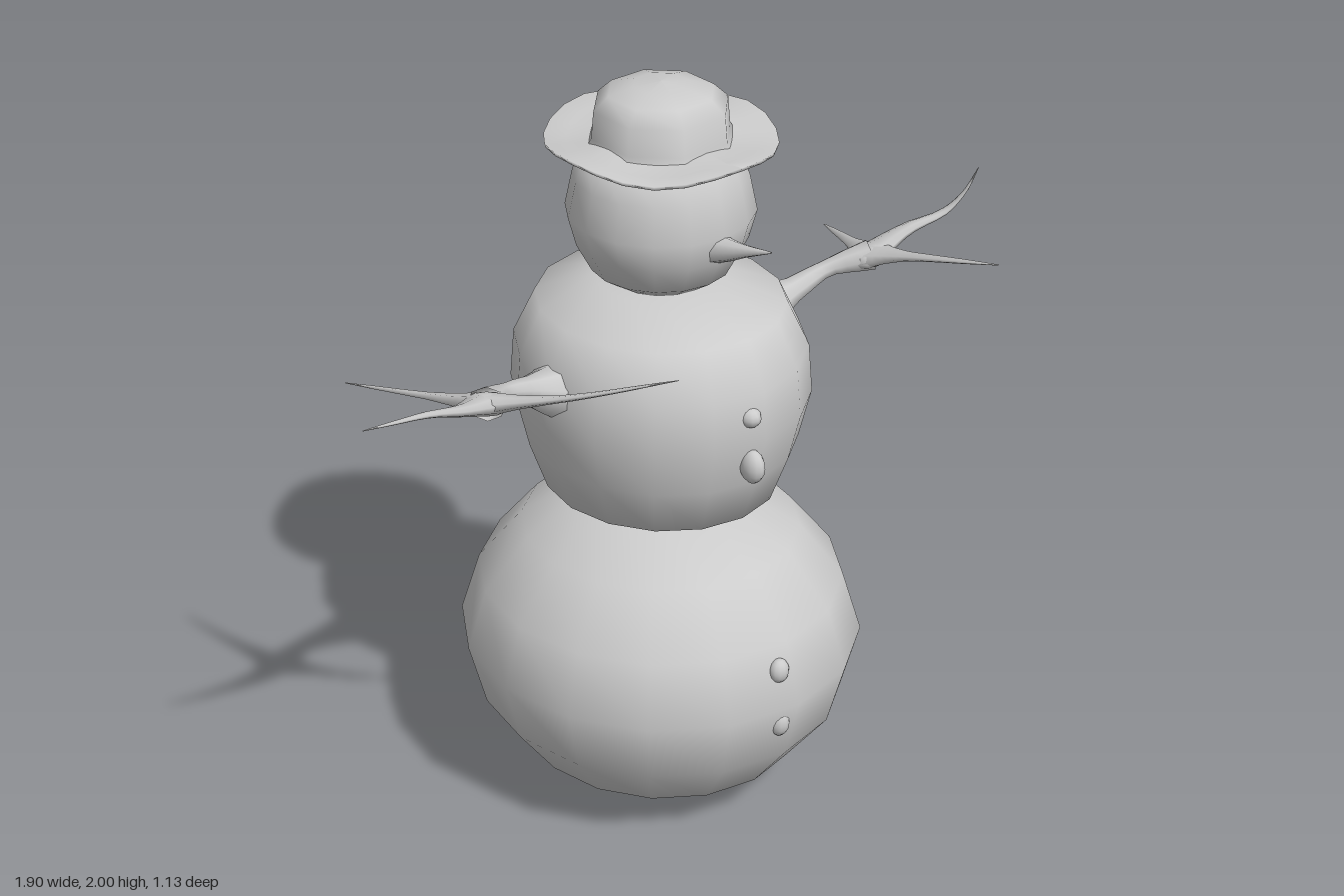
import * as THREE from 'three';

const material = new THREE.MeshStandardMaterial({ color: 0xcccccc, side: THREE.DoubleSide });
const CX = 0.05, CZ = -0.03; // axis of the stacked body

const v = (p) => new THREE.Vector3(...p);

function add(group, name, geometry, x = 0, y = 0, z = 0) {
  const mesh = new THREE.Mesh(geometry, material);
  mesh.name = name;
  mesh.position.set(x, y, z);
  group.add(mesh);
  return mesh;
}

// Turned form from [radius, y] pairs, stretched along z
function turned(profile, segments, stretchZ = 1, start = 0) {
  const pts = profile.map(([r, y]) => new THREE.Vector2(r, y));
  return new THREE.LatheGeometry(pts, segments, start).scale(1, 1, stretchZ);
}

// Tapered limb: a flattened ring swept along a curve
function limb(points, radii, normal, flat, steps = 14, sides = 8) {
  const curve = new THREE.CatmullRomCurve3(points.map(v));
  const positions = [], index = [];
  for (let i = 0; i <= steps; i++) {
    const t = i / steps, f = t * (radii.length - 1);
    const k = Math.min(Math.floor(f), radii.length - 2);
    const r = THREE.MathUtils.lerp(radii[k], radii[k + 1], f - k);
    const c = curve.getPoint(t), T = curve.getTangent(t);
    const side = new THREE.Vector3().crossVectors(T, normal).normalize();
    const up = new THREE.Vector3().crossVectors(side, T);
    for (let j = 0; j < sides; j++) {
      const a = (j / sides) * Math.PI * 2;
      const p = c.clone().addScaledVector(side, r * Math.cos(a)).addScaledVector(up, r * flat * Math.sin(a));
      positions.push(p.x, p.y, p.z);
      if (i < steps) {
        const n = (j + 1) % sides, A = i * sides + j, B = i * sides + n;
        index.push(A, A + sides, B, B, A + sides, B + sides);
      }
    }
  }
  // orient the winding outward
  for (let i = 0; i < index.length; i += 3) [index[i + 1], index[i + 2]] = [index[i + 2], index[i + 1]];
  const g = new THREE.BufferGeometry();
  g.setAttribute('position', new THREE.Float32BufferAttribute(positions, 3));
  g.setIndex(index);
  g.computeVertexNormals();
  return g;
}

function makeArm(name, { arm, fingers, normal }) {
  const group = new THREE.Group();
  group.name = name;
  const n = v(normal).normalize();
  const hub = arm[arm.length - 1];
  add(group, 'armBranch', limb(arm, [0.13, 0.075, 0.042, 0.026, 0.05], n, 0.85), 0, 0, 0);
  for (const f of fingers) {
    add(group, 'twigFinger', limb([hub, ...f], [0.06, 0.034, 0.02, 0.014, 0.009, 0.002], n, 0.5));
  }
  const palm = new THREE.SphereGeometry(0.06, 10, 6).scale(1, 0.5, 1);
  add(group, 'palm', palm, ...hub).quaternion.setFromUnitVectors(new THREE.Vector3(0, 1, 0), n);
  return group;
}

export function createModel() {
  const model = new THREE.Group();
  model.name = 'snowman';

  // Three stacked snowballs
  add(model, 'lowerBall', turned([
    [0, 0], [0.19, 0.04], [0.37, 0.13], [0.48, 0.28], [0.525, 0.455],
    [0.475, 0.62], [0.36, 0.765], [0.2, 0.86], [0, 0.87]], 16, 1.04), CX, 0, CZ);
  add(model, 'middleBall', turned([
    [0, 0.85], [0.19, 0.855], [0.3, 0.91], [0.345, 1.04], [0.375, 1.17],
    [0.365, 1.3], [0.31, 1.42], [0.16, 1.475], [0, 1.485]], 16, 1.07), CX, 0, CZ);
  add(model, 'head', turned([
    [0, 1.47], [0.12, 1.475], [0.18, 1.515], [0.22, 1.59], [0.24, 1.665],
    [0.22, 1.76], [0.19, 1.84], [0, 1.86]], 16), CX, 0, CZ);

  // Hat: wavy brim and an eight-sided crown
  const brim = turned([[0, 1.825], [0.19, 1.815], [0.235, 1.83], [0.282, 1.85], [0.285, 1.86], [0.23, 1.855], [0.17, 1.86], [0, 1.87]], 24, 1.04);
  const pos = brim.attributes.position;
  for (let i = 0; i < pos.count; i++) {
    const x = pos.getX(i), z = pos.getZ(i);
    pos.setY(i, pos.getY(i) + 0.035 * Math.hypot(x, z) * Math.cos(4 * Math.atan2(z, x)));
  }
  brim.computeVertexNormals();
  add(model, 'hatBrim', brim, CX, 0, CZ);
  add(model, 'hatCrown', turned([
    [0.195, 1.84], [0.178, 1.87], [0.172, 1.94], [0.135, 1.975], [0.07, 1.993], [0, 2]],
  8, 1.02, Math.PI / 8), CX, 0, CZ);

  // Face
  add(model, 'nose', limb(
    [[0.05, 1.625, 0.15], [0.05, 1.635, 0.21], [0.053, 1.655, 0.28], [0.06, 1.68, 0.365]],
    [0.05, 0.032, 0.016, 0.002], new THREE.Vector3(0, 1, 0), 1));
  for (const s of [-1, 1]) {
    add(model, 'eye', new THREE.SphereGeometry(0.018, 10, 8), CX + s * 0.092, 1.725, 0.155);
  }

  // Buttons down the front: y, z, half height, half depth
  for (const [y, z, h, d] of [[1.24, 0.345, 0.028, 0.035], [1.105, 0.36, 0.046, 0.038],
    [0.555, 0.475, 0.034, 0.025], [0.4, 0.48, 0.04, 0.028]]) {
    add(model, 'button', new THREE.SphereGeometry(1, 12, 8).scale(0.028, h, d), 0.015, y, z);
  }

  // Branch arms with three twig fingers each
  model.add(makeArm('leftArm', {
    arm: [[0.32, 1.25, -0.04], [0.41, 1.265, -0.035], [0.49, 1.295, -0.015], [0.59, 1.335, 0.01], [0.69, 1.365, 0.07]],
    fingers: [
      [[0.675, 1.43, 0.25], [0.66, 1.525, 0.55]],
      [[0.78, 1.315, -0.1], [0.945, 1.215, -0.37]],
      [[0.79, 1.42, 0.1], [0.89, 1.455, 0.14], [0.93, 1.51, 0.17], [0.945, 1.585, 0.2]],
    ],
    normal: [-0.25, 1, -0.33],
  }));
  model.add(makeArm('rightArm', {
    arm: [[-0.22, 1.25, -0.04], [-0.31, 1.27, -0.035], [-0.39, 1.305, -0.02], [-0.49, 1.345, 0.01], [-0.58, 1.37, 0.065]],
    fingers: [
      [[-0.49, 1.44, 0.27], [-0.36, 1.54, 0.51]],
      [[-0.615, 1.315, -0.16], [-0.64, 1.24, -0.44]],
      [[-0.69, 1.41, 0.11], [-0.8, 1.445, 0.125], [-0.88, 1.447, 0.11], [-0.95, 1.438, 0.08]],
    ],
    normal: [0.25, 1, -0.33],
  }));

  return model;
}
